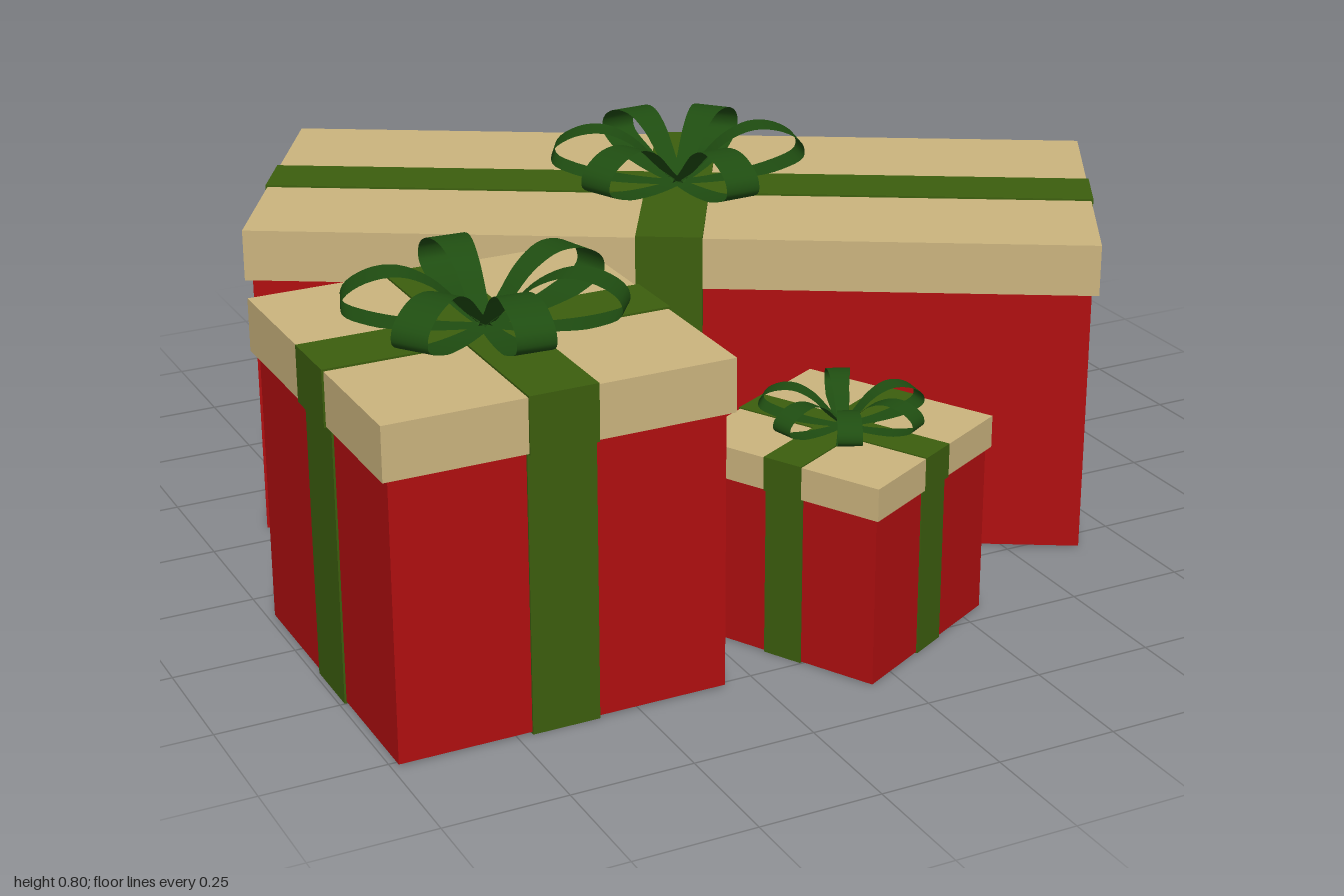
import * as THREE from 'three';

const mat = (name, color, side = THREE.FrontSide) => {
  const m = new THREE.MeshStandardMaterial({ color, side });
  m.name = name;
  return m;
};

// One bow loop: a tapered ribbon strip swept along a teardrop in the XY plane
function loopGeometry() {
  const path = new THREE.CatmullRomCurve3([
    [0, 0], [0.045, 0.04], [0.1, 0.09], [0.16, 0.115], [0.22, 0.108], [0.265, 0.078],
    [0.268, 0.048], [0.22, 0.024], [0.14, 0.008], [0.06, 0.001], [0, 0],
  ].map(([x, y]) => new THREE.Vector3(x, y, 0)));
  const n = 40, pos = [], idx = [];
  for (let i = 0; i <= n; i++) {
    const p = path.getPoint(i / n);
    const half = 0.015 + 0.024 * Math.min(1, p.x / 0.2);
    pos.push(p.x, p.y, -half, p.x, p.y, half);
    if (i < n) {
      const a = i * 2;
      idx.push(a, a + 1, a + 2, a + 1, a + 3, a + 2);
    }
  }
  const g = new THREE.BufferGeometry();
  g.setAttribute('position', new THREE.Float32BufferAttribute(pos, 3));
  g.setIndex(idx);
  g.computeVertexNormals();
  return g;
}

export function createModel() {
  const red = mat('red paper', 0xb00f10);
  const tan = mat('tan lid', 0xcbb47e);
  const green = mat('green ribbon', 0x3c5e0e);
  const darkGreen = mat('dark green bow', 0x1f4d11, THREE.DoubleSide);
  const loop = loopGeometry();

  const LID_Y = 0.575, TOP = 0.684, RIBBON = 0.138, INSET = 0.014, PROUD = 0.004;

  // Box spanning y0..y1, centred in plan
  const block = (name, w, d, y0, y1, material) => {
    const m = new THREE.Mesh(new THREE.BoxGeometry(w, y1 - y0, d), material);
    m.position.y = (y0 + y1) / 2;
    m.name = name;
    return m;
  };

  function present(name, { x, z, w, d, turn, bowTurn, scale = 1 }) {
    const g = new THREE.Group();
    g.name = name;
    g.position.set(x, 0, z);
    g.scale.setScalar(scale);

    // Wrapped box, lid and crossed ribbons
    const box = new THREE.Group();
    box.name = 'giftBox';
    box.rotation.y = THREE.MathUtils.degToRad(turn);
    const bw = w - 2 * INSET, bd = d - 2 * INSET, e = 2 * PROUD;
    box.add(
      block('body', bw, bd, PROUD, LID_Y + 0.01, red),
      block('lid', w, d, LID_Y, TOP, tan),
      block('bodyRibbonLong', bw + e, RIBBON, 0, LID_Y + 0.01, green),
      block('bodyRibbonCross', RIBBON, bd + e, 0, LID_Y + 0.01, green),
      block('lidRibbonLong', w + e, RIBBON, LID_Y - 0.002, TOP + PROUD, green),
      block('lidRibbonCross', RIBBON, d + e, LID_Y - 0.002, TOP + PROUD, green),
    );
    g.add(box);

    // Six-loop bow, slightly uneven
    const bow = new THREE.Group();
    bow.name = 'bow';
    bow.position.y = TOP + PROUD + 0.001;
    bow.rotation.y = -THREE.MathUtils.degToRad(bowTurn);
    for (const a of [-87, -17.5, 36.5, 93, 143.5, 200]) {
      const m = new THREE.Mesh(loop, darkGreen);
      m.name = 'bowLoop';
      m.rotation.y = -THREE.MathUtils.degToRad(a);
      bow.add(m);
    }
    g.add(bow);
    return g;
  }

  const model = new THREE.Group();
  model.name = 'presents';
  model.add(
    present('longPresent', { x: 0.056, z: -0.163, w: 1.76, d: 0.7, turn: -30, bowTurn: 174 }),
    present('cubePresent', { x: -0.65, z: 0.43, w: 0.7, d: 0.7, turn: 0, bowTurn: 0 }),
    present('smallPresent', { x: 0.025, z: 0.613, w: 0.7, d: 0.7, turn: 28, bowTurn: 22, scale: 0.613 }),
  );
  return model;
}
